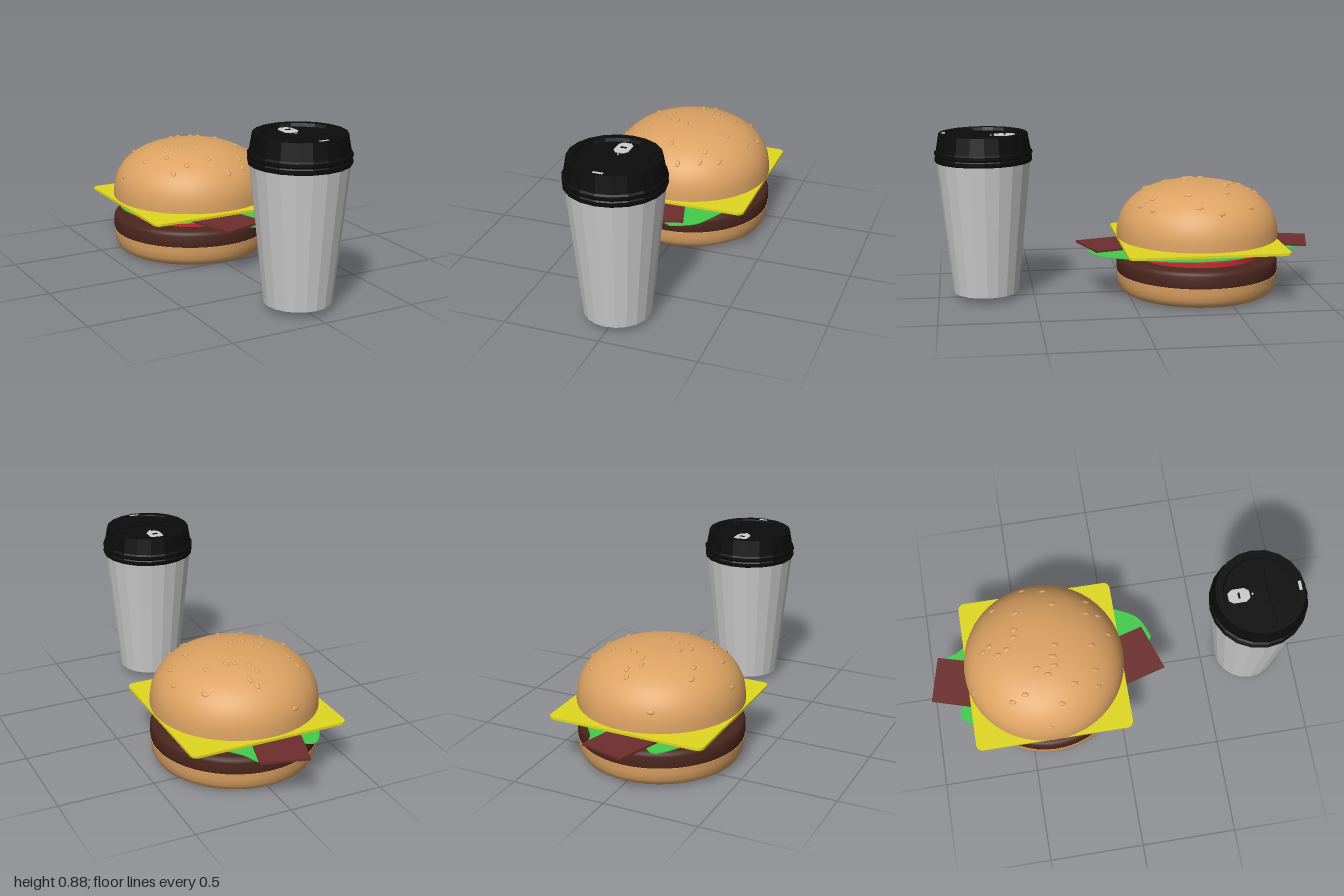
import * as THREE from 'three';
import { toCreasedNormals } from 'three/addons/utils/BufferGeometryUtils.js';

const BURGER_Z = -0.375, CUP_Z = 0.75;
const mat = (color, extra = {}) => new THREE.MeshStandardMaterial({ color, ...extra });

function add(parent, name, geometry, material, x = 0, y = 0, z = 0) {
  const mesh = new THREE.Mesh(geometry, material);
  mesh.name = name;
  mesh.position.set(x, y, z);
  parent.add(mesh);
  return mesh;
}

// Turned solid from [radius, height] pairs listed bottom to top
function turned(points, sides = 48, crease = 0.6) {
  const g = new THREE.LatheGeometry(points.map(([r, y]) => new THREE.Vector2(r, y)), sides);
  return crease ? toCreasedNormals(g, crease) : g;
}

// Flat slab lying in the xz plane, thickness upwards
function slab(shape, thickness) {
  const g = new THREE.ExtrudeGeometry(shape, { depth: thickness, bevelEnabled: false, curveSegments: 8 });
  return g.rotateX(-Math.PI / 2);
}
const flat = (pts) => pts.map(([x, z]) => new THREE.Vector2(x, -z));

// Dome of the top bun
const R = 0.43, BASE = 0.3, H = 0.295, P = 2.4;
const domeY = (r) => BASE + H * Math.pow(Math.max(0, 1 - Math.pow(r / R, P)), 1 / P);

function domeNormal(x, z) {
  const r = Math.hypot(x, z), h = (domeY(r) - BASE) / H;
  const nr = Math.pow(r / R, P - 1) / R;
  return new THREE.Vector3((x / r) * nr, Math.pow(h, P - 1) / H, (z / r) * nr).normalize();
}

function createBurger() {
  const burger = new THREE.Group();
  burger.name = 'burger';
  const bunMat = mat(0xdca262);

  add(burger, 'bottomBun', turned([[0, 0], [0.36, 0], [0.385, 0.004], [0.408, 0.018], [0.422, 0.045],
    [0.428, 0.08], [0.43, 0.112], [0, 0.112]]), bunMat, 0, 0, BURGER_Z);
  add(burger, 'patty', turned([[0, 0.113], [0.428, 0.113], [0.43, 0.125], [0.43, 0.175], [0.426, 0.188],
    [0.418, 0.196], [0.405, 0.2], [0, 0.2]]), mat(0x4a261d), 0, 0, BURGER_Z);
  add(burger, 'tomato', turned([[0, 0.2], [0.337, 0.2], [0.337, 0.226], [0, 0.226]]), mat(0xc42a33), 0, 0, BURGER_Z);

  // Wavy lettuce leaf
  const leaf = new THREE.Shape();
  const outline = new THREE.SplineCurve(flat([[0.08, 0.225], [0.2, 0.17], [0.27, 0.05], [0.35, -0.13],
    [0.385, -0.3], [0.36, -0.5], [0.27, -0.68], [0.165, -0.82], [0.12, -0.91], [0, -0.88], [-0.1, -0.8],
    [-0.19, -0.86], [-0.26, -0.8], [-0.34, -0.62], [-0.4, -0.4], [-0.36, -0.2], [-0.25, -0.03],
    [-0.1, 0.02], [0, 0.17], [0.08, 0.225]]));
  leaf.setFromPoints(outline.getPoints(90).slice(0, -1));
  add(burger, 'lettuce', slab(leaf, 0.004), mat(0x43cc4c), 0, 0.244, 0);

  // Two bacon strips meeting under the bun
  const bacon = new THREE.Shape(flat([[-0.1, -1], [0.14, -0.94], [-0.02, -0.375], [0.14, 0.18],
    [-0.11, 0.265], [-0.29, -0.375]]));
  add(burger, 'bacon', slab(bacon, 0.012), mat(0x6e2d2d), 0, 0.25, 0);

  // Cheese slice with rounded corners
  const s = 0.42, c = 0.035, cheese = new THREE.Shape();
  [[1, 1, 0], [-1, 1, 1], [-1, -1, 2], [1, -1, 3]].forEach(([sx, sy, k]) =>
    cheese.absarc(sx * (s - c), sy * (s - c), c, k * Math.PI / 2, (k + 1) * Math.PI / 2, false));
  add(burger, 'cheese', slab(cheese, 0.013), mat(0xe0d81f), 0, 0.271, BURGER_Z);

  // Domed top bun
  const profile = [[0, BASE]];
  for (let i = 0; i <= 18; i++) {
    const r = i === 18 ? 0 : R * Math.pow(Math.cos(i / 18 * Math.PI / 2), 2 / P);
    profile.push([r, domeY(r)]);
  }
  add(burger, 'topBun', turned(profile), bunMat, 0, 0, BURGER_Z);

  // Sesame seeds laid on the dome
  const seeds = new THREE.Group();
  seeds.name = 'sesameSeeds';
  seeds.position.z = BURGER_Z;
  burger.add(seeds);
  const spots = [[-0.26, -0.19], [-0.14, -0.39], [0.03, -0.31], [0.05, -0.27], [-0.01, -0.23], [0.01, -0.18],
    [0.07, -0.14], [0.11, -0.13], [0.21, -0.11], [-0.24, -0.12], [-0.12, -0.04], [-0.16, 0.01], [-0.12, 0.05],
    [-0.07, 0.05], [-0.01, 0.07], [-0.31, 0.06], [-0.4, -0.02], [0.23, 0.09], [0.33, 0.05], [0.36, -0.06],
    [0.27, -0.23], [-0.22, 0.14], [-0.24, 0.26], [-0.16, 0.26], [-0.03, 0.26], [0.16, 0.26], [0.24, 0.27],
    [0.04, 0.36], [0.15, 0.32]];
  const seedGeo = new THREE.SphereGeometry(1, 12, 8).scale(0.012, 0.007, 0.02);
  for (const [x, z] of spots) {
    const n = domeNormal(x, z);
    const along = new THREE.Vector3(0, 0.3, -1).projectOnPlane(n).normalize();
    const side = new THREE.Vector3().crossVectors(n, along);
    const seed = add(seeds, 'seed', seedGeo, bunMat, x, domeY(Math.hypot(x, z)), z);
    seed.quaternion.setFromRotationMatrix(new THREE.Matrix4().makeBasis(side, n, along));
  }
  return burger;
}

function createCup() {
  const cup = new THREE.Group();
  cup.name = 'cup';
  cup.position.z = CUP_Z;
  const grey = mat(0xcccccc, { flatShading: true });
  const black = mat(0x0c0c0c, { flatShading: true });

  add(cup, 'cupBody', turned([[0, 0.033], [0.17, 0.033], [0.243, 0.735], [0, 0.735]], 20, 0), grey);

  // Lid with two rim beads and a recessed top
  add(cup, 'lid', turned([[0.235, 0.727], [0.249, 0.727], [0.251, 0.735], [0.251, 0.75], [0.246, 0.756],
    [0.252, 0.764], [0.252, 0.78], [0.243, 0.788], [0.228, 0.874], [0.19, 0.874], [0.184, 0.858], [0, 0.858]], 20, 0), black);

  // Raised half on the drinking side
  const half = new THREE.Shape();
  half.absarc(0, 0, 0.188, Math.PI + 0.28, 2 * Math.PI - 0.28, false);
  half.quadraticCurveTo(0, -0.025, -0.181, -0.052);
  add(cup, 'lidStep', slab(half, 0.012), black, 0, 0.857, 0);

  // Tab and its crossbar, sip opening and vent
  const tab = new THREE.Shape(flat([[-0.02, -0.055], [0.02, -0.055], [0.037, -0.032], [0.037, 0.032],
    [0.02, 0.055], [-0.02, 0.055], [-0.037, 0.032], [-0.037, -0.032]]));
  add(cup, 'lidTab', slab(tab, 0.005), grey, 0, 0.857, -0.11);
  add(cup, 'tabBar', new THREE.BoxGeometry(0.03, 0.004, 0.01), black, 0, 0.863, -0.11);
  add(cup, 'ventHole', new THREE.CylinderGeometry(0.006, 0.006, 0.002, 8), grey, 0, 0.859, -0.04);
  add(cup, 'sipOpening', new THREE.BoxGeometry(0.05, 0.002, 0.016), grey, 0, 0.874, 0.202);
  return cup;
}

export function createModel() {
  const model = new THREE.Group();
  model.name = 'burgerAndCup';
  model.add(createBurger(), createCup());
  return model;
}
